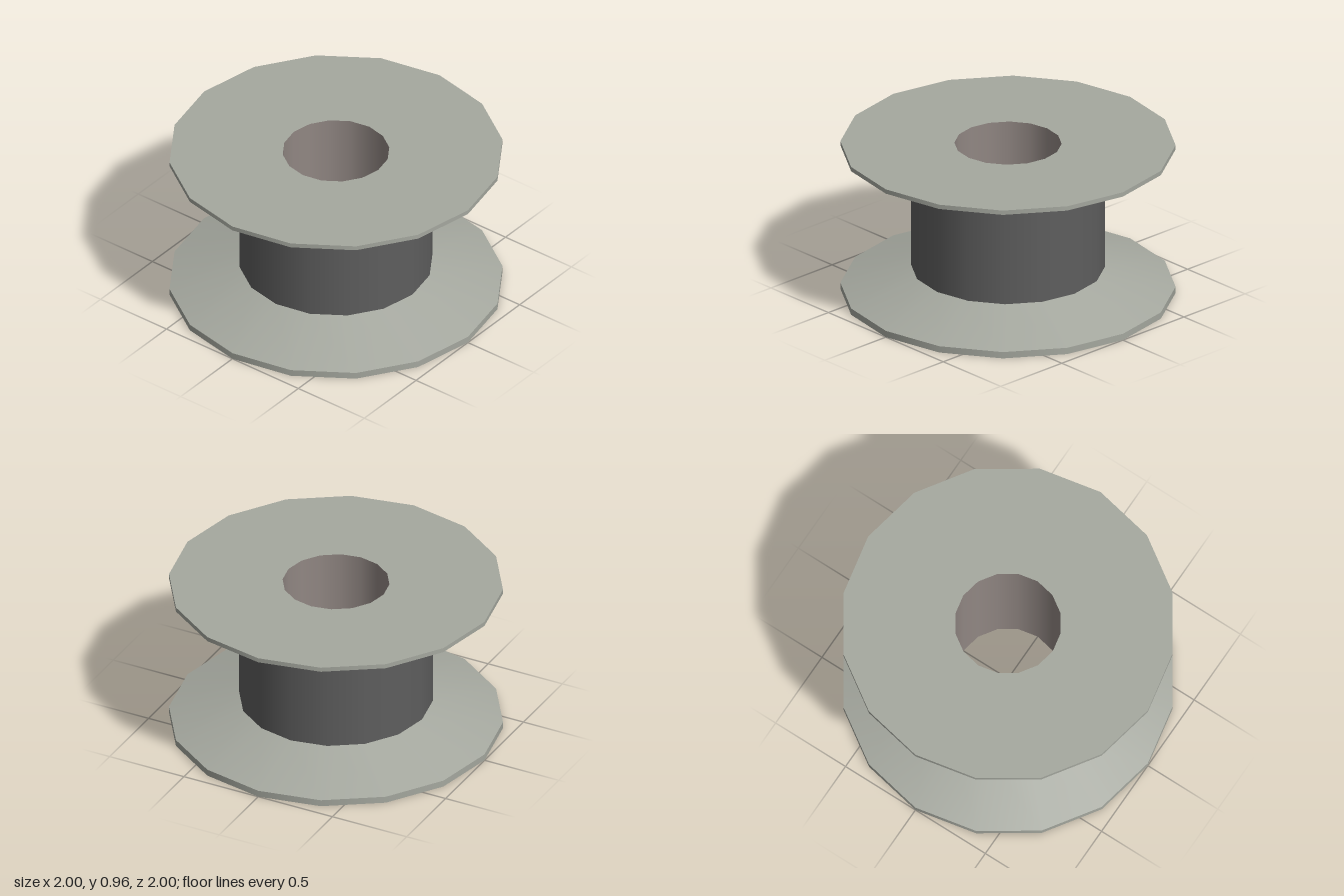
import * as THREE from 'three';
import { mergeGeometries } from 'three/addons/utils/BufferGeometryUtils.js';

const SIDES = 16;
const HEIGHT = 0.963, RIM = 1, DRUM = 0.58, HOLE = 0.32;
const DRUM_BOTTOM = 0.168, DRUM_TOP = 0.802;

// Revolves each profile segment separately: smooth around, sharp between bands
function revolve(profile) {
  const bands = [];
  for (let i = 0; i < profile.length - 1; i++) {
    const ends = [profile[i], profile[i + 1]].map(([r, y]) => new THREE.Vector2(r, y));
    bands.push(new THREE.LatheGeometry(ends, SIDES));
  }
  return mergeGeometries(bands);
}

export function createModel() {
  const flangeGrey = new THREE.MeshStandardMaterial({ color: 0xa5a89f });
  flangeGrey.name = 'flangeGrey';
  const drumGrey = new THREE.MeshStandardMaterial({ color: 0x5e5e5e });
  drumGrey.name = 'drumGrey';
  const boreGrey = new THREE.MeshStandardMaterial({ color: 0x918783 });
  boreGrey.name = 'boreGrey';

  const spool = new THREE.Group();
  spool.name = 'spool';
  const add = (name, material, profile) => {
    const mesh = new THREE.Mesh(revolve(profile), material);
    mesh.name = name;
    spool.add(mesh);
  };

  // Flanges: flat outer face, thin rim, cone down to the drum
  add('bottomFlange', flangeGrey, [[HOLE, 0], [RIM, 0], [RIM, 0.041], [DRUM, DRUM_BOTTOM]]);
  add('topFlange', flangeGrey, [[DRUM, DRUM_TOP], [RIM, 0.935], [RIM, HEIGHT], [HOLE, HEIGHT]]);

  // Winding drum between the flanges
  add('drum', drumGrey, [[DRUM, DRUM_BOTTOM], [DRUM, DRUM_TOP]]);

  // Open bore through the centre, facing inward
  add('bore', boreGrey, [[HOLE, HEIGHT], [HOLE, 0]]);

  return spool;
}
